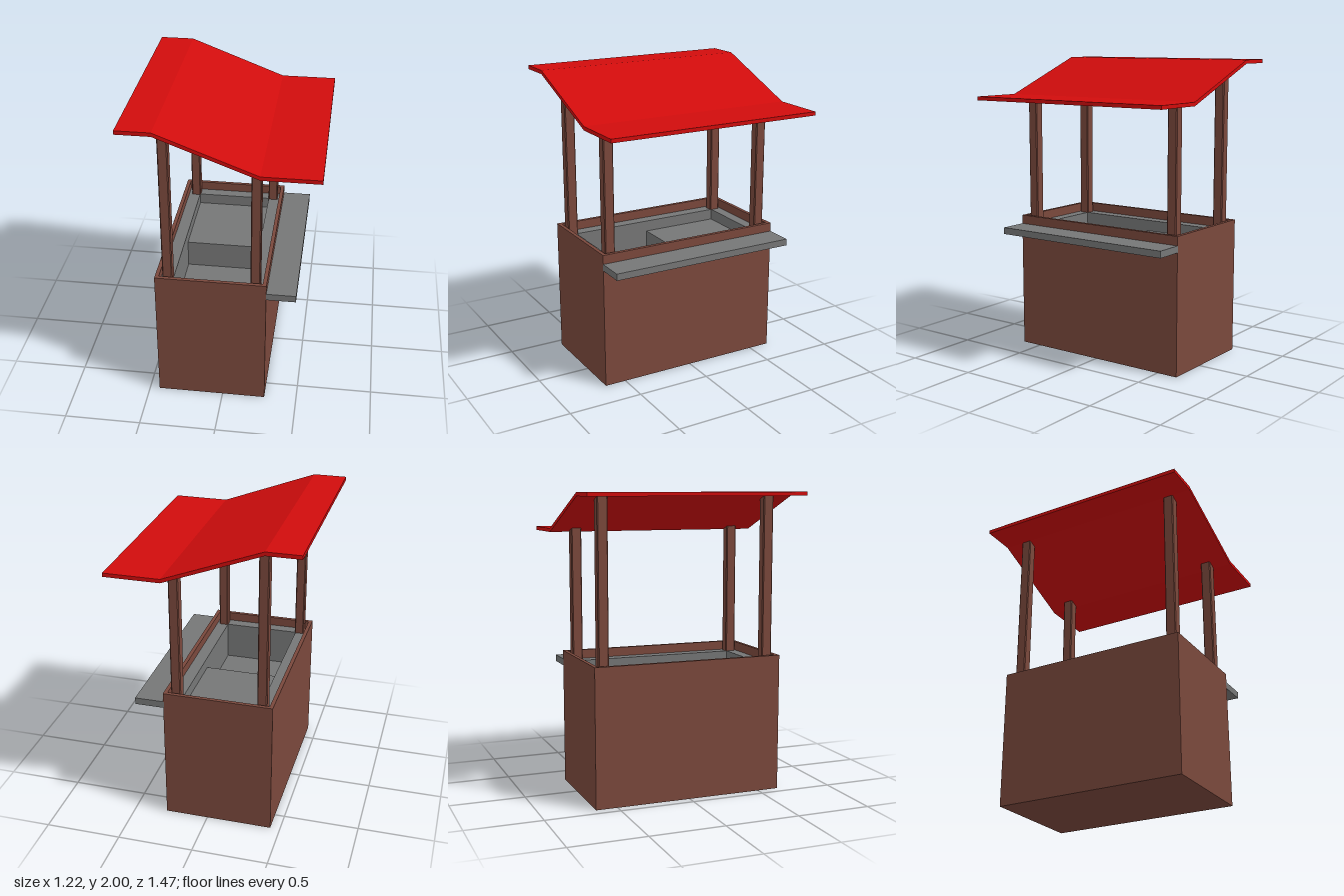
import * as THREE from 'three';

const wood = new THREE.MeshStandardMaterial({ color: 0x7a483c });
wood.name = 'brown wood';
const metal = new THREE.MeshStandardMaterial({ color: 0x757676 });
metal.name = 'grey metal';
const canopyRed = new THREE.MeshStandardMaterial({ color: 0xd00c0c });
canopyRed.name = 'canopy red';

function add(group, name, geometry, material) {
  const mesh = new THREE.Mesh(geometry, material);
  mesh.name = name;
  group.add(mesh);
  return mesh;
}

// Box given by its lower and upper limits on each axis
function box(x0, x1, y0, y1, z0, z1) {
  return new THREE.BoxGeometry(x1 - x0, y1 - y0, z1 - z0)
    .translate((x0 + x1) / 2, (y0 + y1) / 2, (z0 + z1) / 2);
}

function rectangle(PathType, [x0, x1, halfZ]) {
  return new PathType([[x0, -halfZ], [x1, -halfZ], [x1, halfZ], [x0, halfZ]]
    .map(([x, z]) => new THREE.Vector2(x, z)));
}

// Upright rectangular ring between two heights
function ring(outer, inner, y0, y1) {
  const shape = rectangle(THREE.Shape, outer);
  shape.holes.push(rectangle(THREE.Path, inner));
  return new THREE.ExtrudeGeometry(shape, { depth: y1 - y0, bevelEnabled: false })
    .rotateX(-Math.PI / 2).translate(0, y0, 0);
}

// Post with chamfered edges; its top is cut to follow the roof slope
function post(x, z, roofHeight) {
  const w = 0.032, d = 0.035, c = 0.006;
  const shape = new THREE.Shape([
    [-w + c, -d], [w - c, -d], [w, -d + c], [w, d - c],
    [w - c, d], [-w + c, d], [-w, d - c], [-w, -d + c],
  ].map(([a, b]) => new THREE.Vector2(a, b)));
  const geometry = new THREE.ExtrudeGeometry(shape, { depth: 1, bevelEnabled: false })
    .rotateX(-Math.PI / 2).translate(x, 0, z);
  const p = geometry.attributes.position;
  for (let i = 0; i < p.count; i++) {
    p.setY(i, p.getY(i) > 0.5 ? roofHeight(p.getX(i)) : 0.86);
  }
  geometry.computeVertexNormals();
  return geometry;
}

export function createModel() {
  const stall = new THREE.Group();
  stall.name = 'marketStall';

  const outer = [-0.435, 0.285, 0.645];
  const rim = [-0.41, 0.26, 0.62];
  const basin = [-0.33, 0.18, 0.545];

  // Cabinet: four walls with a raised rim, and a base
  add(stall, 'cabinetWalls', ring(outer, rim, 0, 0.92), wood);
  add(stall, 'cabinetBase', box(-0.434, 0.284, 0, 0.03, -0.644, 0.644), wood);

  // Counter: ledge around a shallow tray with a deep well at the front end
  add(stall, 'counterLedge', ring(rim, basin, 0.6, 0.86), metal);
  add(stall, 'trayFloor', box(basin[0], basin[1], 0.6, 0.785, -basin[2], 0), metal);
  add(stall, 'wellFloor', box(rim[0], rim[1], 0.58, 0.6, -rim[2], rim[2]), metal);

  // Serving shelf along the right-hand long side
  add(stall, 'servingShelf', box(0.28, 0.475, 0.815, 0.86, -0.645, 0.645), metal);

  // Roof: a sloping panel between two flat ends
  const line = [[-0.61, 1.987], [-0.39, 1.987], [0.245, 1.745], [0.61, 1.745]];
  const t = 0.0125;
  const profile = new THREE.Shape([
    ...line.map(([x, y]) => new THREE.Vector2(x, y + t)),
    ...line.slice().reverse().map(([x, y]) => new THREE.Vector2(x, y - t)),
  ]);
  const roof = new THREE.ExtrudeGeometry(profile, { depth: 1.47, bevelEnabled: false })
    .translate(0, 0, -0.735);
  add(stall, 'roof', roof, canopyRed);

  // Four corner posts reaching the underside of the slope
  const slope = (line[2][1] - line[1][1]) / (line[2][0] - line[1][0]);
  const underside = (x) => line[1][1] - 0.012 + slope * (x - line[1][0]);
  for (const [x, row] of [[-0.357, 'tall'], [0.211, 'short']]) {
    for (const [z, end] of [[0.573, 'Front'], [-0.57, 'Back']]) {
      add(stall, row + 'Post' + end, post(x, z, underside), wood);
    }
  }
  return stall;
}
